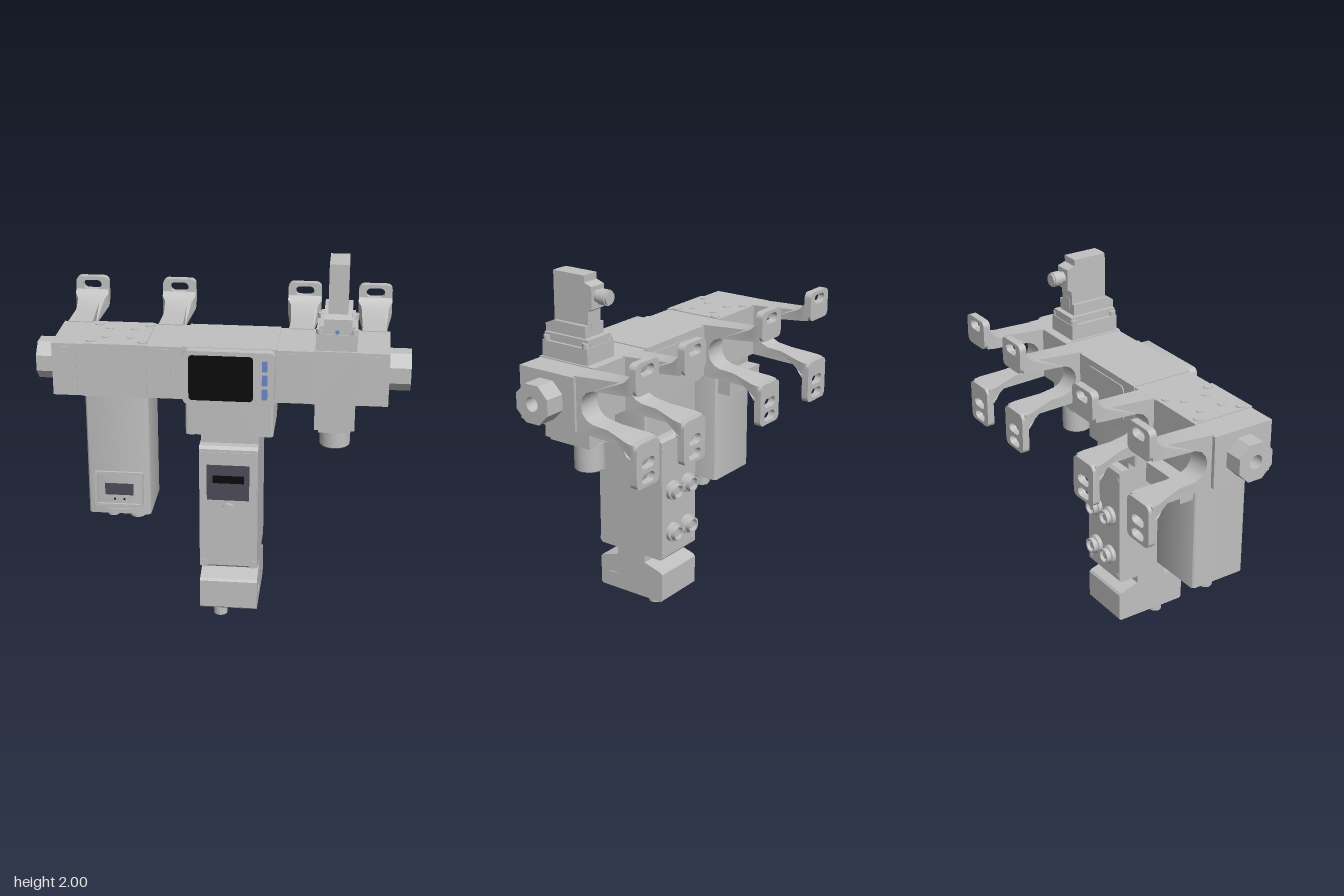
import * as THREE from 'three';
import { toCreasedNormals } from 'three/addons/utils/BufferGeometryUtils.js';

export function createModel() {
  const root = new THREE.Group();
  const mat = (name, color) => {
    const m = new THREE.MeshStandardMaterial({ color });
    m.name = name;
    return m;
  };
  const grey = mat('light grey', 0xc0c0c0);
  const black = mat('screen black', 0x0a0a0a);
  const slate = mat('dark slate', 0x4c4a58);
  const blue = mat('button blue', 0x6a88cc);

  // ---- helpers ----
  const add = (name, geo, m = grey, parent = root) => {
    const mesh = new THREE.Mesh(geo, m);
    mesh.name = name;
    parent.add(mesh);
    return mesh;
  };
  const box = (name, x0, x1, y0, y1, z0, z1, m) => {
    const g = new THREE.BoxGeometry(x1 - x0, y1 - y0, z1 - z0);
    g.translate((x0 + x1) / 2, (y0 + y1) / 2, (z0 + z1) / 2);
    return add(name, g, m);
  };
  const cyl = (name, axis, r, len, x, y, z, m = grey, sides = 28) => {
    const g = new THREE.CylinderGeometry(r, r, len, sides);
    if (axis === 'x') g.rotateZ(Math.PI / 2);
    if (axis === 'z') g.rotateX(Math.PI / 2);
    g.translate(x, y, z);
    return add(name, g, m);
  };
  const roundRect = (x0, x1, y0, y1, r, Type = THREE.Shape) => {
    const s = new Type();
    s.moveTo(x0 + r, y0).lineTo(x1 - r, y0).absarc(x1 - r, y0 + r, r, -Math.PI / 2, 0);
    s.lineTo(x1, y1 - r).absarc(x1 - r, y1 - r, r, 0, Math.PI / 2);
    s.lineTo(x0 + r, y1).absarc(x0 + r, y1 - r, r, Math.PI / 2, Math.PI);
    s.lineTo(x0, y0 + r).absarc(x0 + r, y0 + r, r, Math.PI, Math.PI * 1.5);
    return s;
  };
  const extrude = (shape, depth) =>
    new THREE.ExtrudeGeometry(shape, { depth, bevelEnabled: false, curveSegments: 8 });
  // rounded plate facing z
  const plate = (name, x0, x1, y0, y1, z0, z1, r, m) =>
    add(name, toCreasedNormals(extrude(roundRect(x0, x1, y0, y1, r), z1 - z0).translate(0, 0, z0), 0.6), m);
  // block with rounded vertical edges
  const column = (name, x0, x1, y0, y1, z0, z1, r) =>
    add(name, toCreasedNormals(extrude(roundRect(x0, x1, -z1, -z0, r), y1 - y0)
      .rotateX(-Math.PI / 2).translate(0, y0, 0), 0.6));
  // side profile of [z, y] points, swept along x
  const sideGeo = (pts, x0, x1) =>
    extrude(new THREE.Shape(pts.map(([z, y]) => new THREE.Vector2(-z, y))), x1 - x0)
      .rotateY(Math.PI / 2).translate(x0, 0, 0);
  const side = (name, pts, x0, x1) => add(name, toCreasedNormals(sideGeo(pts, x0, x1), 0.5));

  // ---- row of main blocks ----
  box('leftBlock', -0.70, -0.375, 1.28, 1.565, -0.015, 0.338);
  box('middleBlock', -0.19, 0.285, 1.27, 1.565, -0.02, 0.335);
  box('regulatorBlock', 0.465, 0.695, 1.28, 1.565, -0.015, 0.338);
  plate('middleBackPlate', -0.10, 0.24, 1.32, 1.53, -0.026, -0.02, 0.03);
  const spacers = [[-0.86, -0.70], [-0.375, -0.19], [0.285, 0.465], [0.695, 0.85]];
  spacers.forEach(([a, b]) => box('spacer', a, b, 1.28, 1.56, -0.015, 0.332));

  // octagonal end ports with a bore
  const oct = new THREE.Shape();
  for (let i = 0; i < 8; i++) {
    const a = Math.PI / 8 + i * Math.PI / 4, r = 0.108;
    oct[i ? 'lineTo' : 'moveTo'](r * Math.cos(a), r * Math.sin(a));
  }
  oct.closePath();
  oct.holes.push(new THREE.Path().absarc(0, 0, 0.038, 0, Math.PI * 2, true));
  for (const x of [-0.96, 0.845]) {
    add('endPort', toCreasedNormals(extrude(oct, 0.115).rotateY(Math.PI / 2).translate(x, 1.42, 0.16), 0.5));
  }

  // ---- wall brackets: forked arm plus slotted feet ----
  const outer = [[0.0, 1.565], [-0.02, 1.565], [-0.15, 1.573], [-0.27, 1.58], [-0.31, 1.59], [-0.34, 1.61], [-0.355, 1.63], [-0.38, 1.63],
    [-0.38, 1.543], [-0.34, 1.537], [-0.27, 1.525], [-0.20, 1.515], [-0.11, 1.505], [-0.075, 1.49], [-0.05, 1.46], [-0.04, 1.42]];
  const lower = outer.slice(0, -1).reverse().map(([z, y]) => [z, 2.84 - y + (y < 1.56 ? 0 : 0.004)]);
  const armHalf = z => (z <= -0.34 ? 0.09 : z <= -0.27
    ? 0.09 - 0.04 * (z + 0.34) / 0.07 : 0.05 + 0.015 * (z + 0.27) / 0.27);
  const armGeo = sideGeo([...outer, ...lower], -1, 1);
  const p = armGeo.attributes.position;
  for (let i = 0; i < p.count; i++) p.setX(i, p.getX(i) * armHalf(p.getZ(i)));
  const armFinal = toCreasedNormals(armGeo, 0.6);
  const foot = (y0, y1, slots) => {
    const s = roundRect(-0.09, 0.09, y0, y1, 0.03);
    slots.forEach(y => s.holes.push(roundRect(-0.05, 0.05, y - 0.026, y + 0.026, 0.025, THREE.Path)));
    return toCreasedNormals(extrude(s, 0.04).translate(0, 0, -0.40), 0.6);
  };
  const topFoot = foot(1.54, 1.70, [1.655]);
  const bottomFoot = foot(1.07, 1.30, [1.19, 1.113]);
  for (const x of [-0.775, -0.295, 0.39, 0.77]) {
    const bracket = new THREE.Group();
    bracket.name = 'wallBracket';
    bracket.position.x = x;
    add('bracketArm', armFinal, grey, bracket);
    add('topFoot', topFoot, grey, bracket);
    add('bottomFoot', bottomFoot, grey, bracket);
    // clamp jaws let into the spacer, front and top
    const jaw = new THREE.BoxGeometry(0.085, 0.25, 0.006);
    add('clampJaw', jaw, grey, bracket).position.set(0, 1.42, 0.333);
    root.add(bracket);
  }

  // ---- left sensor unit ----
  column('sensorColumn', -0.70, -0.37, 0.61, 1.28, 0.0, 0.325, 0.02);
  box('sensorBackBlock', -0.68, -0.39, 1.13, 1.24, -0.08, 0.01);
  const frame = roundRect(-0.665, -0.405, 0.655, 0.855, 0.008);
  frame.holes.push(roundRect(-0.65, -0.42, 0.67, 0.84, 0.005, THREE.Path));
  add('sensorFrame', extrude(frame, 0.013).translate(0, 0, 0.325));
  box('sensorLip', -0.60, -0.47, 0.628, 0.64, 0.325, 0.331);
  box('sensorDisplay', -0.61, -0.46, 0.72, 0.785, 0.324, 0.329, slate);
  for (const x of [-0.56, -0.51]) cyl('sensorLed', 'z', 0.005, 0.006, x, 0.695, 0.326, black, 10);
  [[-0.60, 0.037, 16], [-0.465, 0.047, 10]].forEach(([x, r, n]) => {
    cyl('sensorPlugNeck', 'y', r * 0.8, 0.03, x, 0.602, 0.16);
    cyl('sensorPlug', 'y', r, 0.055, x, 0.565, 0.16, grey, n);
    cyl('sensorPlugTip', 'y', r * 0.85, 0.012, x, 0.534, 0.16);
  });
  // screws on top of the left block
  for (const x of [-0.665, -0.40]) for (const z of [0.03, 0.29]) cyl('topScrew', 'y', 0.024, 0.008, x, 1.566, z);
  for (const x of [-0.60, -0.467]) for (const z of [0.09, 0.225]) cyl('topPlug', 'y', 0.02, 0.006, x, 1.566, z);

  // ---- front display ----
  plate('displayHousing', -0.185, 0.28, 1.275, 1.562, 0.33, 0.385, 0.03);
  plate('displayScreen', -0.155, 0.172, 1.30, 1.54, 0.385, 0.389, 0.02, black);
  for (const y of [1.493, 1.418, 1.343]) plate('displayButton', 0.216, 0.244, y - 0.028, y + 0.028, 0.385, 0.392, 0.006, blue);

  // ---- valve housing under the middle block ----
  column('valveHousing', -0.18, 0.272, 1.085, 1.28, 0.0, 0.325, 0.012);
  box('valveNeck', -0.10, 0.20, 1.03, 1.09, 0.01, 0.32);
  for (const x of [-0.15, 0.245]) for (const z of [0.04, 0.285]) cyl('housingScrew', 'y', 0.025, 0.02, x, 1.085, z);

  // ---- control column with pinched waist ----
  side('controlColumn', [[0.36, 1.04], [-0.035, 1.04], [-0.05, 1.025], [-0.05, 0.355], [-0.04, 0.343], [0.07, 0.343],
    [0.07, 0.30], [-0.04, 0.268], [-0.05, 0.255], [-0.05, 0.10], [-0.04, 0.09], [0.365, 0.09], [0.375, 0.10],
    [0.375, 0.255], [0.365, 0.268], [0.255, 0.30], [0.255, 0.343], [0.365, 0.343], [0.375, 0.355], [0.375, 1.025]], -0.105, 0.20);
  // front cover with a notched lower edge
  const cover = new THREE.Shape([[-0.10, 1.01], [-0.10, 0.72], [-0.01, 0.72], [0.02, 0.675], [0.08, 0.675], [0.11, 0.72],
    [0.195, 0.72], [0.195, 1.01]].map(a => new THREE.Vector2(...a)));
  add('controlCover', extrude(cover, 0.004).translate(0, 0, 0.375));
  box('controlPanel', -0.065, 0.156, 0.742, 0.94, 0.379, 0.383, slate);
  box('controlDisplay', -0.035, 0.13, 0.84, 0.882, 0.383, 0.386, black);
  cyl('controlKnob', 'z', 0.03, 0.025, 0.048, 0.695, 0.385);
  cyl('knobCentre', 'z', 0.018, 0.008, 0.048, 0.695, 0.397, grey, 6);
  for (const x of [-0.083, 0.178]) cyl('controlScrew', 'z', 0.022, 0.012, x, 0.366, 0.374);
  box('sideSlot', 0.198, 0.204, 0.168, 0.182, 0.255, 0.315);
  // four threaded sockets on the back
  const socket = [[0, 0], [0.053, 0], [0.053, 0.022], [0.043, 0.026], [0.043, 0.052], [0.033, 0.052], [0.033, 0.02], [0, 0.02]]
    .map(a => new THREE.Vector2(...a));
  const socketGeo = toCreasedNormals(new THREE.LatheGeometry(socket, 24).rotateX(-Math.PI / 2), 0.5);
  for (const x of [-0.02, 0.112]) for (const y of [0.735, 0.49]) {
    add('backSocket', socketGeo).position.set(x, y, -0.05);
    cyl('socketPin', 'z', 0.02, 0.03, x, y, -0.075, grey, 16);
  }
  for (const x of [-0.085, 0.18]) for (const y of [0.38, 0.98]) cyl('backScrew', 'z', 0.014, 0.006, x, y, -0.05);
  // connectors under the base
  [[-0.005, 0.265, 0.037, 0.005], [0.06, 0.23, 0.025, 0.05], [0.115, 0.06, 0.036, 0.042], [0.115, 0.265, 0.022, 0.05]].forEach(([x, z, r, y]) => {
    cyl('basePlugCollar', 'y', r * 0.85, 0.03, x, 0.08, z);
    cyl('basePlug', 'y', r, 0.072 - y, x, (y + 0.072) / 2, z);
  });
  cyl('basePlugTip', 'y', 0.028, 0.012, -0.005, 0.006, 0.265);

  // ---- shut-off valve and pilot ----
  box('regulatorLower', 0.48, 0.685, 1.135, 1.28, 0.035, 0.325);
  box('regulatorFoot', 0.50, 0.665, 1.115, 1.14, 0.05, 0.31);
  const tube = [[0, 0.05], [0.06, 0.05], [0.06, 0], [0.074, 0], [0.08, 0.006], [0.08, 0.15], [0, 0.15]].map(a => new THREE.Vector2(...a));
  add('exhaustTube', toCreasedNormals(new THREE.LatheGeometry(tube, 32), 0.4)).position.set(0.583, 0.977, 0.12);
  box('pilotBase', 0.478, 0.685, 1.56, 1.65, 0.035, 0.325);
  box('pilotStep', 0.495, 0.67, 1.65, 1.69, 0.04, 0.32);
  for (const x of [0.497, 0.667]) for (const z of [0.055, 0.305]) cyl('pilotScrew', 'y', 0.02, 0.03, x, 1.66, z);
  side('pilotCollar', [[0.325, 1.68], [0.325, 1.73], [0.27, 1.752], [0.07, 1.752], [0.07, 1.68]], 0.515, 0.655);
  cyl('pilotIndicator', 'z', 0.01, 0.006, 0.583, 1.665, 0.326, blue, 12);
  side('pilotBody', [[0.285, 1.745], [0.285, 2.0], [0.09, 2.0], [0.09, 1.965], [0.045, 1.95], [0.045, 1.835], [0.07, 1.82], [0.07, 1.745]], 0.535, 0.632);
  box('pilotLatch', 0.56, 0.61, 1.72, 1.78, 0.068, 0.10);
  box('pilotRib', 0.55, 0.615, 1.88, 2.0, 0.284, 0.288);
  cyl('pilotPlugNeck', 'z', 0.032, 0.03, 0.583, 1.897, 0.035);
  cyl('pilotPlug', 'z', 0.04, 0.045, 0.583, 1.897, 0.0);
  cyl('pilotPlugTip', 'z', 0.034, 0.012, 0.583, 1.897, -0.026);

  return root;
}
